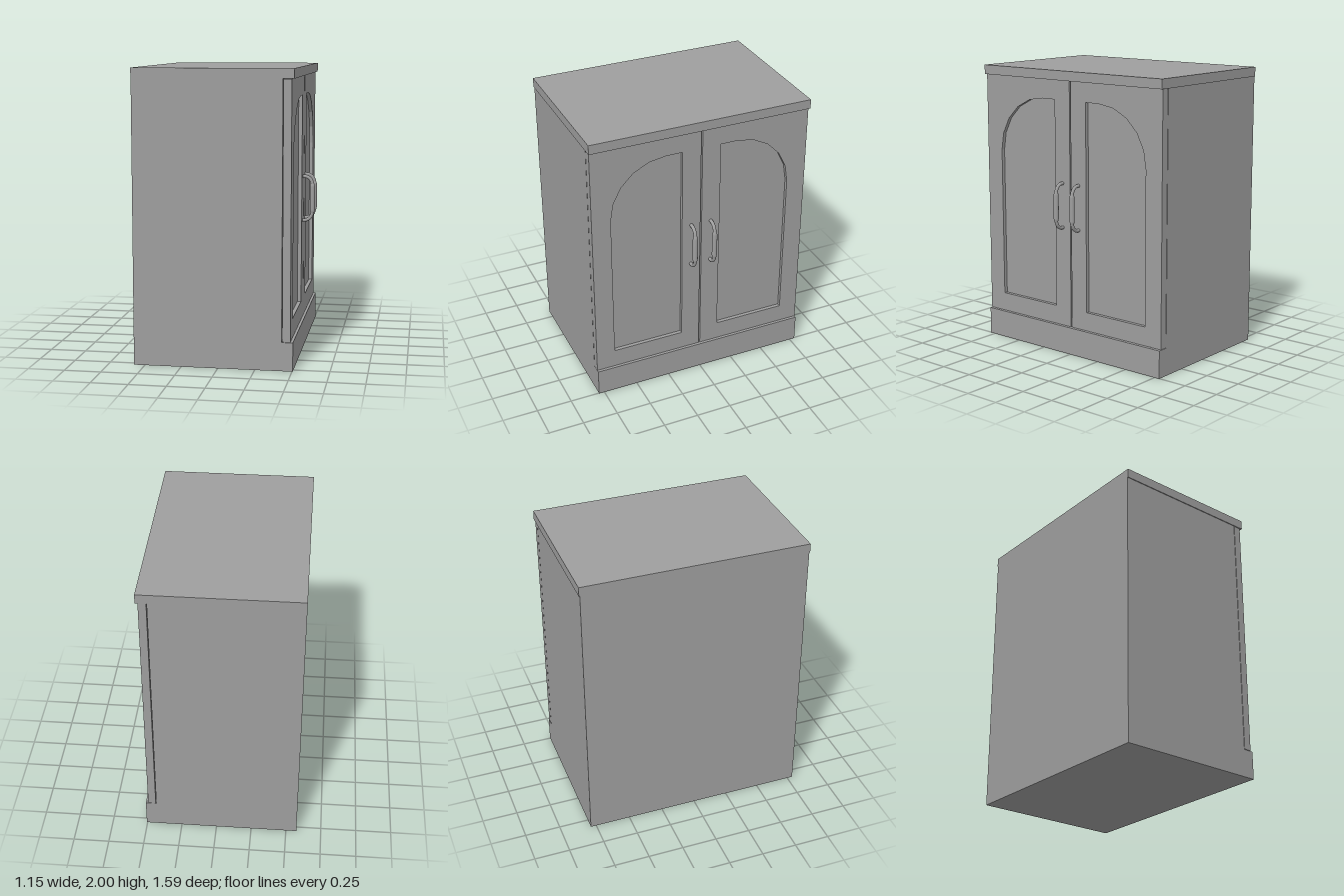
import * as THREE from 'three';

const grey = new THREE.MeshStandardMaterial({ color: 0x9e9e9e });

function add(parent, name, geometry) {
  const mesh = new THREE.Mesh(geometry, grey);
  mesh.name = name;
  parent.add(mesh);
  return mesh;
}

// Box given by its extents on each axis
function box(parent, name, [x0, x1], [y0, y1], [z0, z1]) {
  const mesh = add(parent, name, new THREE.BoxGeometry(x1 - x0, y1 - y0, z1 - z0));
  mesh.position.set((x0 + x1) / 2, (y0 + y1) / 2, (z0 + z1) / 2);
  return mesh;
}

// Door leaf with a recessed half-arched panel; side is +1 or -1 along z
function createDoor(side) {
  const door = new THREE.Group();
  door.name = side > 0 ? 'rightHandDoor' : 'leftHandDoor';
  const back = 0.434, floor = 0.462, front = 0.488;
  const pt = (z, y) => new THREE.Vector2(-side * z, y);

  const outline = [pt(0.005, 0.198), pt(0.79, 0.198), pt(0.79, 1.932), pt(0.005, 1.932)];
  const opening = [pt(0.14, 0.33), pt(0.655, 0.33)];
  // Quarter arch in five straight segments
  for (let i = 0; i <= 5; i++) {
    const a = (i / 5) * Math.PI / 2;
    opening.push(pt(0.255 + 0.4 * Math.cos(a), 1.398 + 0.4 * Math.sin(a)));
  }
  opening.push(pt(0.14, 1.798));
  // The mirrored leaf runs clockwise, so turn it; the hole runs the other way
  if (side > 0) outline.reverse();
  else opening.reverse();
  const shape = new THREE.Shape(outline);
  shape.holes.push(new THREE.Path(opening));

  const frame = add(door, 'doorFrame', new THREE.ExtrudeGeometry(shape, { depth: front - floor, bevelEnabled: false }));
  frame.rotation.y = Math.PI / 2;
  frame.position.x = floor;
  const z = side > 0 ? [0.005, 0.79] : [-0.79, -0.005];
  box(door, 'doorPanel', [back, floor], [0.198, 1.932], z);

  door.add(createHandle(side * 0.073));
  return door;
}

// Bow handle: thin bent rod with a thicker tapered grip
function createHandle(z) {
  const handle = new THREE.Group();
  handle.name = 'handle';
  const v = (x, y) => new THREE.Vector3(x, y, 0);
  const path = new THREE.CurvePath();
  path.add(new THREE.LineCurve3(v(0.484, 1.222), v(0.497, 1.222)));
  path.add(new THREE.CubicBezierCurve3(v(0.497, 1.222), v(0.532, 1.222), v(0.557, 1.195), v(0.557, 1.155)));
  path.add(new THREE.LineCurve3(v(0.557, 1.155), v(0.557, 0.975)));
  path.add(new THREE.CubicBezierCurve3(v(0.557, 0.975), v(0.557, 0.935), v(0.532, 0.908), v(0.497, 0.908)));
  path.add(new THREE.LineCurve3(v(0.497, 0.908), v(0.484, 0.908)));
  add(handle, 'handleRod', new THREE.TubeGeometry(path, 48, 0.012, 12));

  const profile = [[0.011, -0.108], [0.015, -0.095], [0.018, -0.082], [0.018, 0.082], [0.015, 0.095], [0.011, 0.108]];
  const grip = add(handle, 'handleGrip', new THREE.LatheGeometry(profile.map(p => new THREE.Vector2(...p)), 16));
  grip.position.set(0.557, 1.065, 0);
  handle.position.z = z;
  return handle;
}

export function createModel() {
  const cabinet = new THREE.Group();
  cabinet.name = 'cabinet';

  // Plinth and slightly overhanging top board
  box(cabinet, 'plinth', [-0.575, 0.505], [0, 0.195], [-0.79, 0.79]);
  box(cabinet, 'topBoard', [-0.575, 0.505], [1.934, 2], [-0.796, 0.796]);

  // Hollow carcass with two shelves
  for (const side of [1, -1]) {
    const z = side > 0 ? [0.74, 0.79] : [-0.79, -0.74];
    box(cabinet, 'sideWall', [-0.575, 0.43], [0.195, 1.934], z);
  }
  box(cabinet, 'backWall', [-0.575, -0.525], [0.195, 1.934], [-0.74, 0.74]);
  for (const y of [0.725, 1.345]) {
    box(cabinet, 'shelf', [-0.525, 0.43], [y - 0.023, y + 0.023], [-0.74, 0.74]);
  }

  // Pair of doors
  for (const side of [1, -1]) cabinet.add(createDoor(side));
  return cabinet;
}
